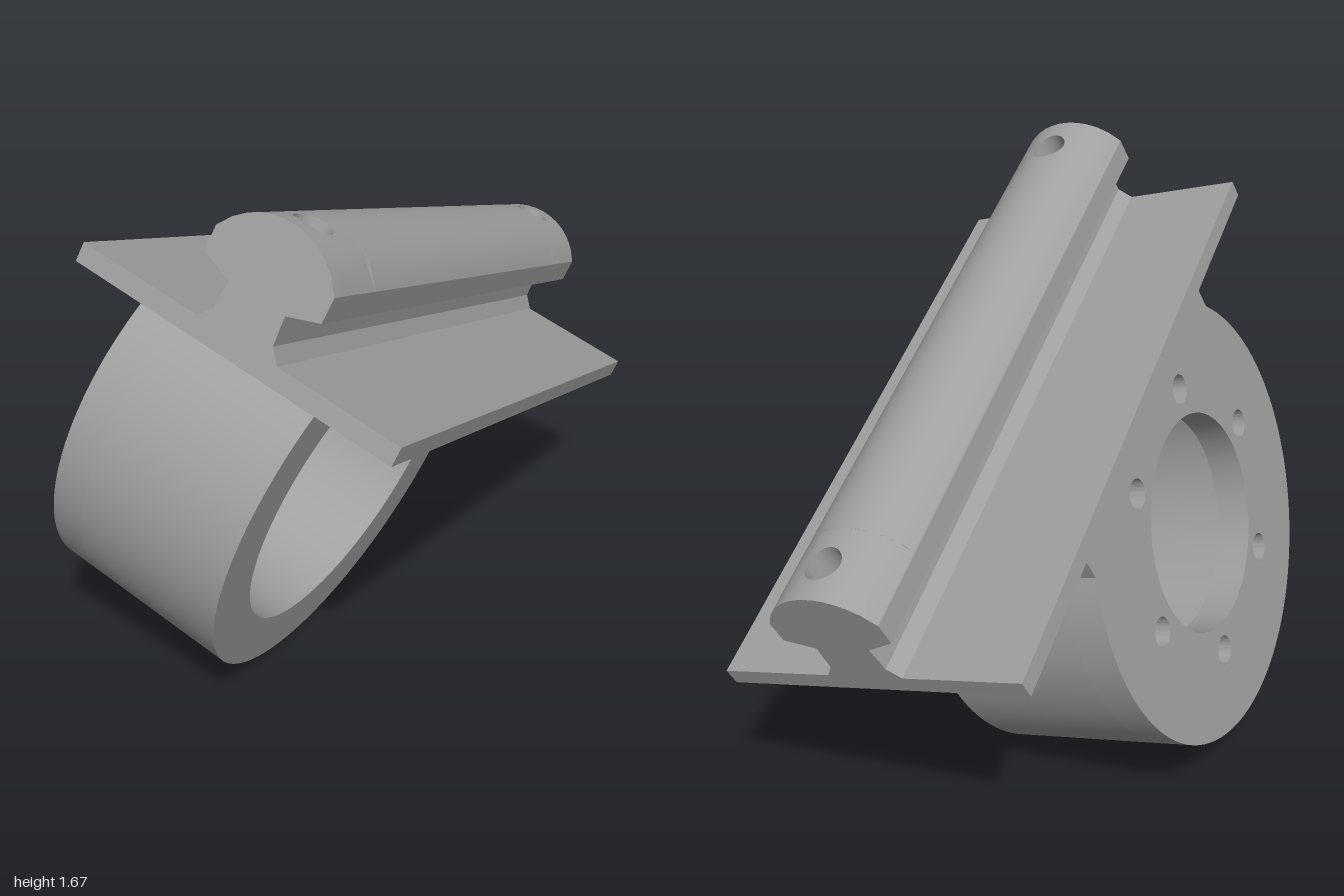
import * as THREE from 'three';
import { toCreasedNormals } from 'three/addons/utils/BufferGeometryUtils.js';

// Local frame: x runs along the rail, y is the plate normal, z is the ring axis.
const HALF_LENGTH = 0.91, HALF_WIDTH = 0.455, PLATE = 0.05;
const HOLE_X = 0.8, HOLE_R = 0.05, END_HALF = 0.11;
const RING_Y = -0.49, RING_R = 0.62, BORE_R = 0.465, EYE_R = 0.31;
const RING_BACK = -0.445, LEDGE = -0.345, RING_FRONT = 0.117;

// Rail side profile as half-width and height, under a domed head
const SIDE = [[0.115, 0], [0.085, 0.035], [0.08, 0.11], [0.165, 0.14], [0.165, 0.205]];
const dome = (v) => 0.109 + Math.sqrt(0.191 * 0.191 - v * v);

const circle = (x, y, r) => new THREE.Path().absarc(x, y, r, 0, Math.PI * 2, true);
const crease = (geometry) => toCreasedNormals(geometry, 0.5);
const extrude = (shape, depth) =>
  crease(new THREE.ExtrudeGeometry(shape, { depth, bevelEnabled: false, curveSegments: 40 }));

// Round housing outline that rises into straight cheeks below the plate
function housingShape() {
  const half = 0.5, y = Math.sqrt(RING_R ** 2 - half ** 2);
  const a = Math.atan2(y, half);
  const shape = new THREE.Shape();
  shape.moveTo(half, -0.015);
  shape.lineTo(-half, -0.015);
  shape.absarc(0, RING_Y, RING_R, Math.PI - a, Math.PI * 2 + a, false);
  shape.closePath();
  return shape;
}

function plateGeometry() {
  const L = HALF_LENGTH, W = HALF_WIDTH;
  const shape = new THREE.Shape([[-L, -W], [L, -W], [L, W], [-L, W]].map((p) => new THREE.Vector2(...p)));
  for (const s of [-1, 1]) shape.holes.push(circle(s * HOLE_X, 0, HOLE_R));
  return extrude(shape, PLATE).rotateX(-Math.PI / 2).translate(0, -PLATE, 0);
}

// Constant section between the two drilled ends
function railGeometry() {
  const points = SIDE.map(([v, t]) => new THREE.Vector2(v, t));
  for (let i = 1; i < 20; i++) {
    const v = 0.165 * (1 - i / 10);
    points.push(new THREE.Vector2(v, dome(v)));
  }
  for (const [v, t] of [...SIDE].reverse()) points.push(new THREE.Vector2(-v, t));
  const length = 2 * (HOLE_X - END_HALF);
  return extrude(new THREE.Shape(points), length).rotateY(Math.PI / 2).translate(-length / 2, 0, 0);
}

// Drilled end: loops climb the sides, cross the dome and go down the hole
function railEndGeometry() {
  const N = 12, outline = [];
  const corners = [[1, -1], [1, 1], [-1, 1], [-1, -1]];
  corners.forEach((c, k) => {
    const d = corners[(k + 1) % 4];
    for (let i = 0; i < N; i++) {
      outline.push([c[0] + (d[0] - c[0]) * i / N, c[1] + (d[1] - c[1]) * i / N]);
    }
  });
  const rows = SIDE.map(([w, t]) => outline.map(([a, b]) => [a * END_HALF, t, b * w]));
  const rim = outline.map(([a, b]) => {
    const x = a * END_HALF, z = b * 0.165, r = Math.hypot(x, z);
    return [x, z, x * HOLE_R / r, z * HOLE_R / r];
  });
  for (let i = 0; i <= 6; i++) {
    rows.push(rim.map(([x, z, hx, hz]) => {
      const px = x + (hx - x) * i / 6, pz = z + (hz - z) * i / 6;
      return [px, dome(pz), pz];
    }));
  }
  rows.push(rim.map(([, , hx, hz]) => [hx, 0, hz]));

  const count = outline.length, index = [];
  for (let i = 0; i < rows.length - 1; i++) {
    for (let j = 0; j < count; j++) {
      const a = i * count + j, c = i * count + (j + 1) % count;
      index.push(a, a + count, c, c, a + count, c + count);
    }
  }
  const geometry = new THREE.BufferGeometry();
  geometry.setAttribute('position', new THREE.Float32BufferAttribute(rows.flat(2), 3));
  geometry.setIndex(index);
  return crease(geometry);
}

export function createModel() {
  const grey = new THREE.MeshStandardMaterial({ color: 0xa0a0a0 });
  grey.name = 'grey';
  const bracket = new THREE.Group();
  bracket.name = 'railBracket';
  const add = (name, geometry) => {
    const mesh = new THREE.Mesh(geometry, grey);
    mesh.name = name;
    bracket.add(mesh);
    return mesh;
  };

  // Mounting plate and rail
  add('mountingPlate', plateGeometry());
  add('rail', railGeometry());
  const end = railEndGeometry();
  add('railEndFront', end).position.x = -HOLE_X;
  add('railEndBack', end).position.x = HOLE_X;

  // Ring housing with a wide bore
  const ring = housingShape();
  ring.holes.push(circle(0, RING_Y, BORE_R));
  add('ringHousing', extrude(ring, RING_FRONT - LEDGE)).position.z = LEDGE;

  // Back flange with its opening and six bolt holes
  const flange = housingShape();
  flange.holes.push(circle(0, RING_Y, EYE_R));
  for (let i = 0; i < 6; i++) {
    const a = i * Math.PI / 3;
    flange.holes.push(circle(0.388 * Math.cos(a), RING_Y + 0.388 * Math.sin(a), 0.042));
  }
  add('backFlange', extrude(flange, LEDGE - RING_BACK)).position.z = RING_BACK;

  // Tilt the whole bracket
  const along = new THREE.Vector3(0.352, -0.363, -0.863).normalize();
  const axis = new THREE.Vector3(0.834, -0.285, 0.472);
  const normal = new THREE.Vector3().crossVectors(axis, along).normalize();
  axis.crossVectors(along, normal);
  bracket.quaternion.setFromRotationMatrix(new THREE.Matrix4().makeBasis(along, normal, axis));
  bracket.position.set(0.1, 1.06, 0);

  const model = new THREE.Group();
  model.name = 'model';
  model.add(bracket);
  return model;
}
